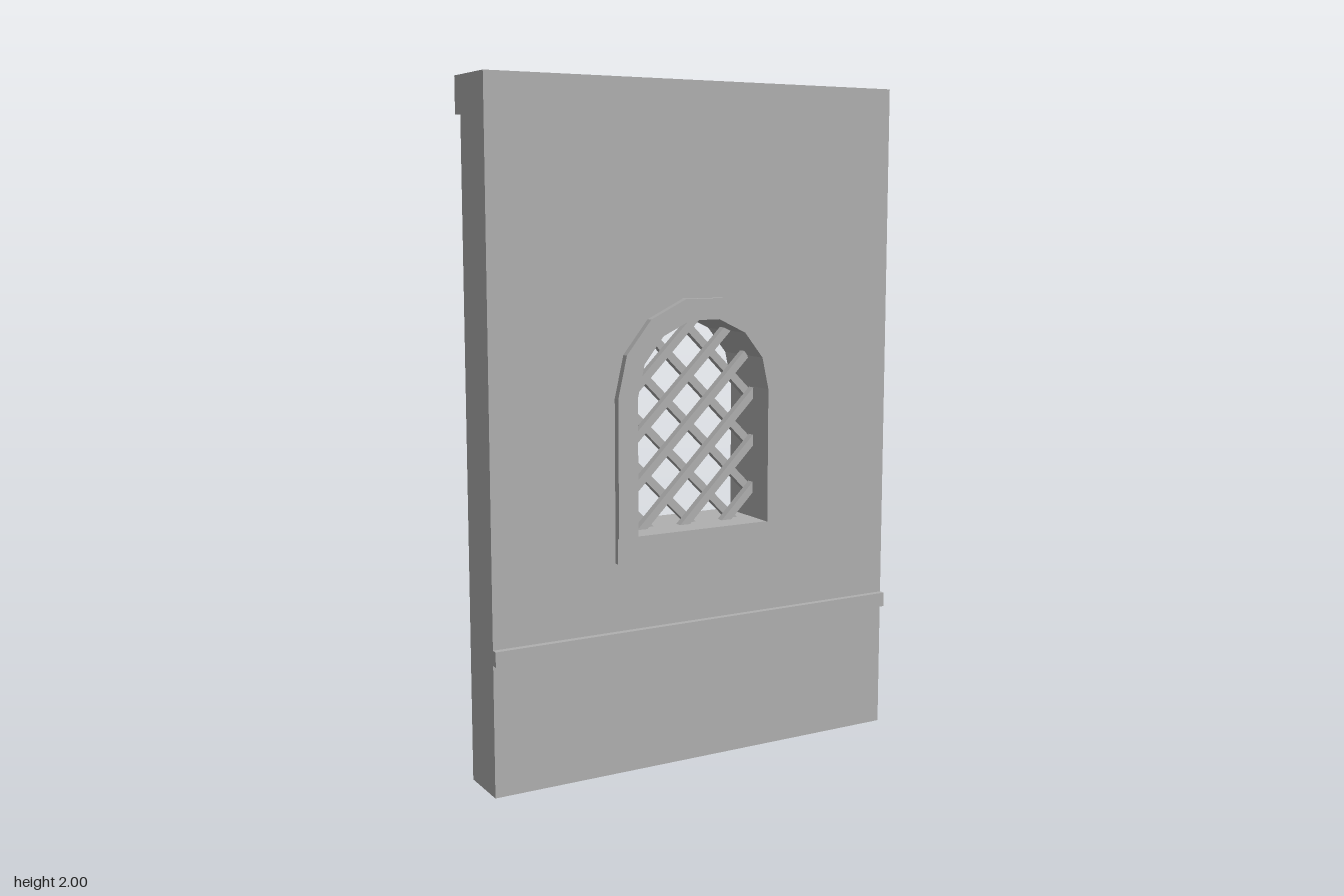
import * as THREE from 'three';

const HALF_W = 0.666, FRONT = 0.152, BACK = -0.013;
const SPRING = 1.107, SILL_TOP = 0.705, SILL_BOTTOM = 0.63;
const OUTER = 0.283, INNER = 0.22, ARCH_SIDES = 7;

// Points of a faceted round arch standing on the given base height
function archPoints(r, base) {
  const pts = [new THREE.Vector2(-r, base), new THREE.Vector2(r, base)];
  for (let i = 0; i <= ARCH_SIDES; i++) {
    const a = (Math.PI * i) / ARCH_SIDES;
    pts.push(new THREE.Vector2(r * Math.cos(a), SPRING + r * Math.sin(a)));
  }
  return pts;
}

// Is a point inside the window opening?
function inOpening(x, y) {
  if (y < SILL_TOP || Math.abs(x) > INNER) return false;
  return y < SPRING || Math.hypot(x, y - SPRING) < INNER * 0.985;
}

export function createModel() {
  const model = new THREE.Group();
  model.name = 'wallPanel';
  const stone = new THREE.MeshStandardMaterial({ color: 0xb0b0b0, flatShading: true });
  stone.name = 'grey stone';

  const add = (name, geometry, parent = model) => {
    const mesh = new THREE.Mesh(geometry, stone);
    mesh.name = name;
    parent.add(mesh);
    return mesh;
  };
  const box = (name, x0, x1, y0, y1, z0, z1) =>
    add(name, new THREE.BoxGeometry(x1 - x0, y1 - y0, z1 - z0))
      .position.set((x0 + x1) / 2, (y0 + y1) / 2, (z0 + z1) / 2);
  const slab = (name, shape, z0, z1) => {
    add(name, new THREE.ExtrudeGeometry(shape, { depth: z1 - z0, bevelEnabled: false })).position.z = z0;
  };

  // Wall with an arched gap that the frame and sill fill
  const wall = new THREE.Shape([
    new THREE.Vector2(-HALF_W, 0), new THREE.Vector2(HALF_W, 0),
    new THREE.Vector2(HALF_W, 2), new THREE.Vector2(-HALF_W, 2),
  ]);
  wall.holes.push(new THREE.Path(archPoints(OUTER, SILL_BOTTOM)));
  slab('wall', wall, BACK, FRONT);

  // Ledge along the top of the back, and string course across the front
  box('topLedge', -HALF_W, HALF_W, 1.895, 2, -0.052, BACK);
  box('stringCourse', -HALF_W, HALF_W, 0.384, 0.428, FRONT, 0.171);

  // Window surround: an upside-down U above a sill
  const outer = archPoints(OUTER, SILL_TOP);
  const inner = archPoints(INNER, SILL_TOP);
  const surround = new THREE.Shape([...outer.slice(1), outer[0], inner[0], ...inner.slice(1).reverse()]);
  slab('windowFrame', surround, -0.038, 0.174);
  box('windowSill', -OUTER, OUTER, SILL_BOTTOM, SILL_TOP, -0.066, 0.167);

  // Diagonal lattice in two layers, each bar cut to the opening
  const lattice = new THREE.Group();
  lattice.name = 'windowLattice';
  model.add(lattice);
  const BAR = 0.024, STEP = 0.145;
  for (const side of [1, -1]) {
    for (let k = -2; k < 7; k++) {
      const y0 = 1.302 - k * STEP;
      let lo = Infinity, hi = -Infinity;
      for (let t = -0.3; t <= 0.3; t += 0.002) {
        if (inOpening(side * t, y0 + t)) {
          lo = Math.min(lo, t);
          hi = Math.max(hi, t);
        }
      }
      if (hi - lo < 0.02 || hi < lo) continue;
      const mid = (lo + hi) / 2;
      const length = (hi - lo) * Math.SQRT2 + 0.03;
      const bar = add('latticeBar', new THREE.BoxGeometry(length, BAR, BAR), lattice);
      bar.position.set(side * mid, y0 + mid, 0.066 + side * BAR / 2);
      bar.rotation.z = side * Math.PI / 4;
    }
  }

  // Ten-sided beam ends with a small chamfer, sticking out of the back
  const R = 0.05, END = -0.174, CHAMFER = 0.008;
  const profile = [[R, 0], [R, BACK - END - CHAMFER], [R - CHAMFER, BACK - END], [0, BACK - END]]
    .map(([r, h]) => new THREE.Vector2(r, h));
  for (const x of [-0.445, 0, 0.445]) {
    const beam = add('beamEnd', new THREE.LatheGeometry(profile, 10, Math.PI / 2));
    beam.rotation.x = -Math.PI / 2;
    beam.position.set(x, 1.735, BACK);
  }

  return model;
}
